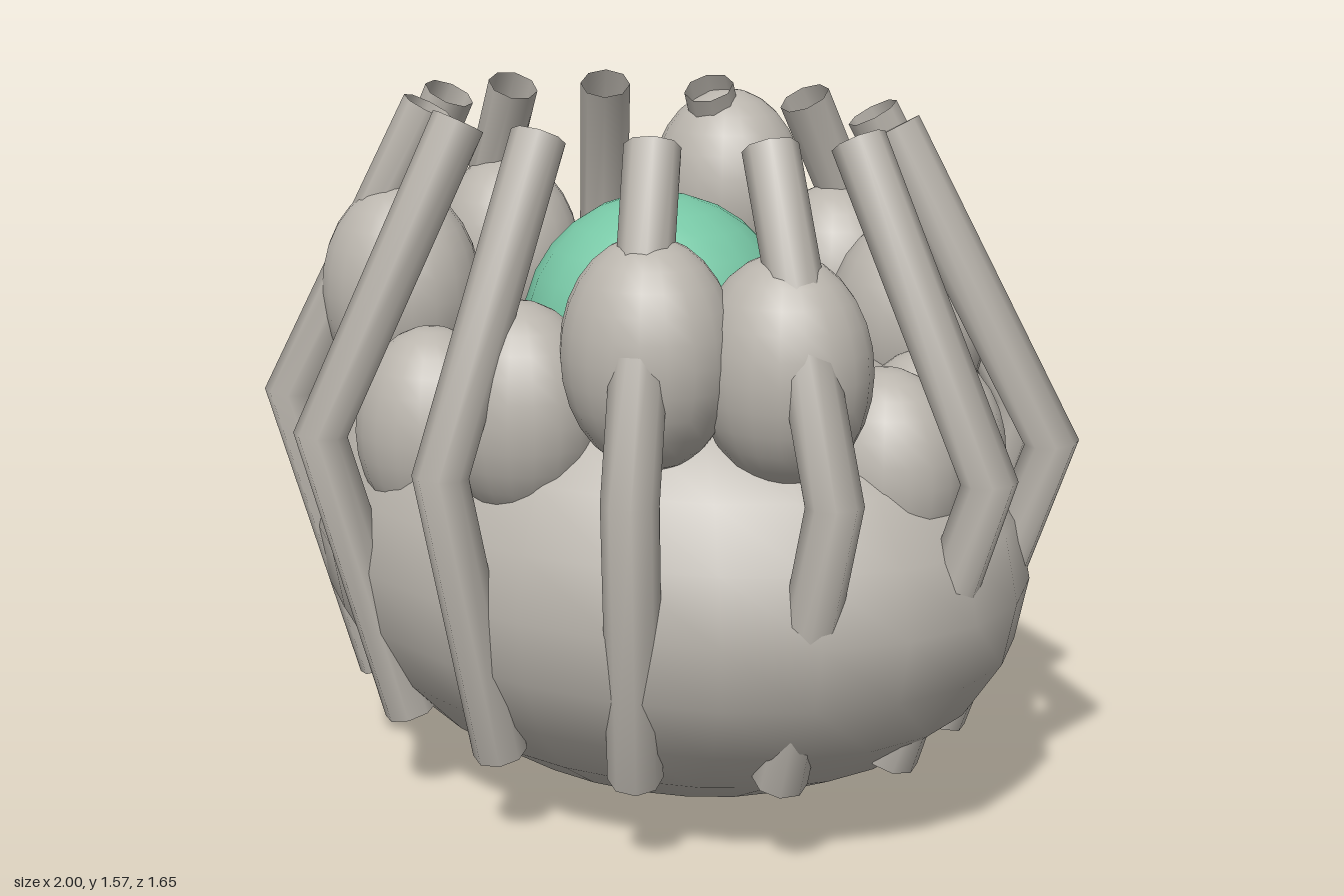
import * as THREE from 'three';

const COUNT = 13;

// Two straight runs meeting at an elbow
class BentPath extends THREE.Curve {
  constructor(a, b, c) {
    super();
    this.a = a; this.b = b; this.c = c;
  }
  getPointAt(u, target = new THREE.Vector3()) {
    return u < 0.5
      ? target.lerpVectors(this.a, this.b, u * 2)
      : target.lerpVectors(this.b, this.c, u * 2 - 1);
  }
  getPoint(t, target) { return this.getPointAt(t, target); }
  getTangentAt(u, target = new THREE.Vector3()) {
    const lower = this.b.clone().sub(this.a).normalize();
    const upper = this.c.clone().sub(this.b).normalize();
    if (u < 0.4) return target.copy(lower);
    if (u > 0.6) return target.copy(upper);
    return target.copy(lower).add(upper).normalize();
  }
}

export function createModel() {
  const model = new THREE.Group();
  const stone = new THREE.MeshStandardMaterial({ color: 0xbab5ad, side: THREE.DoubleSide });
  stone.name = 'warm grey';
  const jade = new THREE.MeshStandardMaterial({ color: 0x78c8a6 });
  jade.name = 'jade green';

  // Point on an ellipse around the body
  const around = (k, rx, y, rz, shift) => {
    const angle = (k / COUNT) * Math.PI * 2;
    return new THREE.Vector3(shift + rx * Math.cos(angle), y, -rz * Math.sin(angle));
  };

  const ellipsoid = (name, material, position, scale, wide, high) => {
    const mesh = new THREE.Mesh(new THREE.SphereGeometry(1, wide, high), material);
    mesh.name = name;
    mesh.position.copy(position);
    mesh.scale.set(...scale);
    model.add(mesh);
  };

  // Squashed body and the core resting in its top
  ellipsoid('body', stone, new THREE.Vector3(-0.015, 0.565, 0), [0.935, 0.56, 0.69], 24, 12);
  ellipsoid('core', jade, new THREE.Vector3(-0.015, 1.05, 0), [0.32, 0.32, 0.31], 18, 14);

  // Egg heights and sizes, counter-clockwise from the +x side
  const eggs = [
    [0.85, 0.92], [0.84, 0.92], [1.07, 0.97], [1.1, 0.97], [1.29, 1.01], [0.9, 0.95], [1.12, 1],
    [0.97, 0.95], [1.125, 1], [0.865, 0.95], [0.97, 0.97], [1.13, 1], [1.1, 0.99],
  ];
  eggs.forEach(([y, s], k) => {
    ellipsoid('egg', stone, around(k, 0.675, y, 0.51, -0.015),
      [0.197 * s, 0.248 * s, 0.176 * s], 20, 14);
  });

  // Hollow bent legs gripping the body
  for (let k = 0; k < COUNT; k++) {
    const path = new BentPath(
      around(k, 0.72, 0.21, 0.58, -0.025),
      around(k, 0.955, 0.88, 0.77, -0.014),
      around(k, 0.6, 1.55, 0.425, -0.03),
    );
    const leg = new THREE.Mesh(new THREE.TubeGeometry(path, 2, 0.06, 8), stone);
    leg.name = 'leg';
    model.add(leg);
  }

  return model;
}
